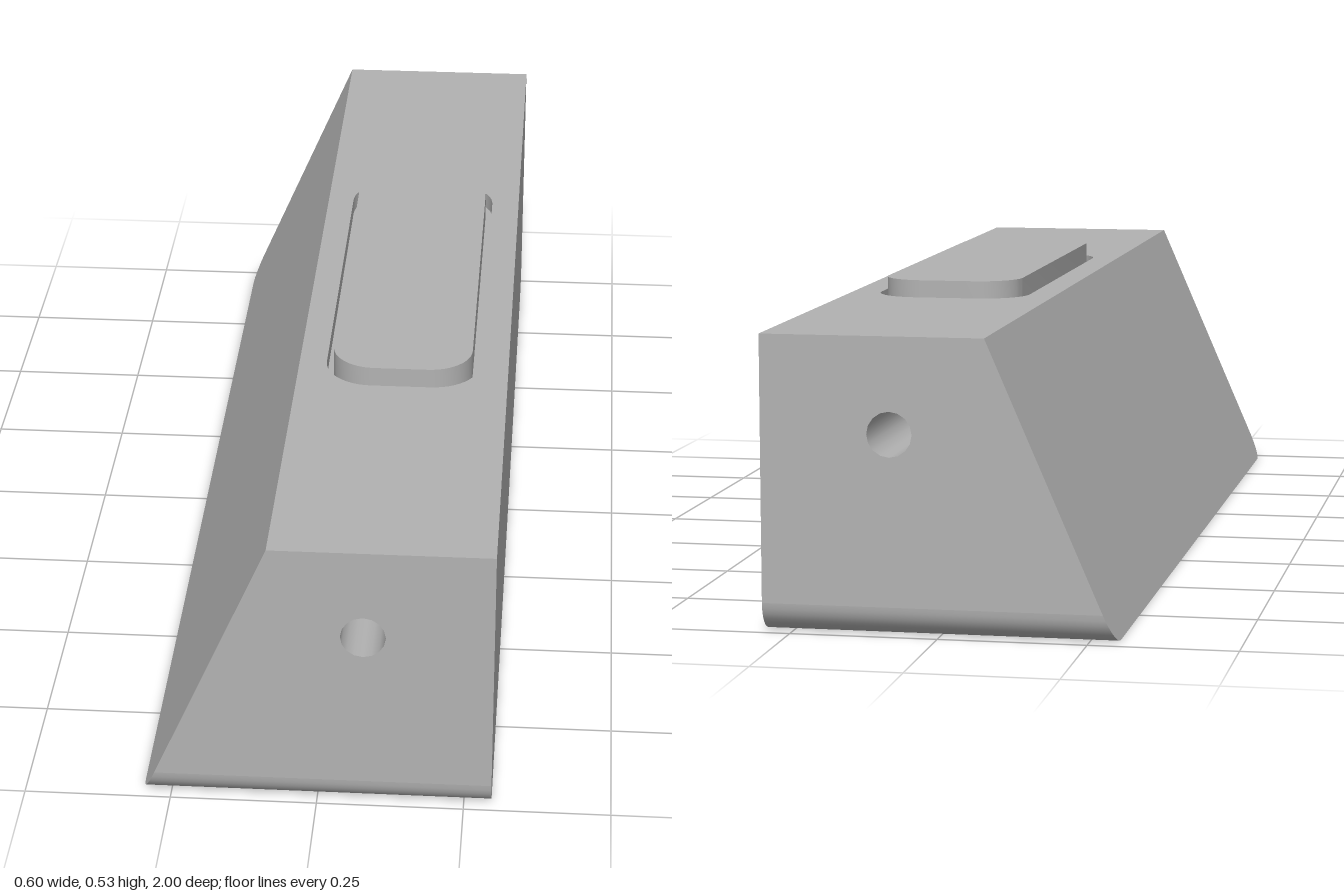
import * as THREE from 'three';
import { toCreasedNormals } from 'three/addons/utils/BufferGeometryUtils.js';

const RIGHT = 0.297, TOP = 0.5, ROUND = 0.05;
const HOLE = { x: 0.079, y: 0.338, r: 0.038 };
const PAD = { x: 0.107, recess: 0.47, top: 0.53 };
// x of the sloping side at height y
const slopeX = (y) => -0.298 + (y / TOP) * 0.218;

// Faceless helper: geometry from points and triangle indices
function fromPoints(points, index) {
  const g = new THREE.BufferGeometry().setFromPoints(points);
  g.setIndex(index);
  return toCreasedNormals(g, 0.6);
}

// Strip of quads between two matching rows of points
function ribbon(a, b) {
  const n = a.length, index = [];
  for (let i = 0; i < n - 1; i++) index.push(i, i + 1, n + i + 1, i, n + i + 1, n + i);
  return fromPoints([...a, ...b], index);
}

// Flat convex polygon
function fan(points) {
  const index = [];
  for (let i = 1; i < points.length - 1; i++) index.push(0, i, i + 1);
  return fromPoints(points, index);
}

// Closed rounded rectangle around the pad centre
function roundedRect(halfW, halfL, r) {
  const s = new THREE.Shape();
  s.absarc(PAD.x + halfW - r, halfL - r, r, 0, Math.PI / 2);
  s.absarc(PAD.x - halfW + r, halfL - r, r, Math.PI / 2, Math.PI);
  s.absarc(PAD.x - halfW + r, -halfL + r, r, Math.PI, Math.PI * 1.5);
  s.absarc(PAD.x + halfW - r, -halfL + r, r, Math.PI * 1.5, Math.PI * 2);
  s.closePath();
  return s;
}

export function createModel() {
  const grey = new THREE.MeshStandardMaterial({ color: 0xb2b2b2 });
  grey.name = 'grey';
  const model = new THREE.Group();
  model.name = 'block';
  const body = new THREE.Group();
  body.name = 'body';
  model.add(body);
  const add = (name, geometry, parent = body) => {
    const mesh = new THREE.Mesh(geometry, grey);
    mesh.name = name;
    parent.add(mesh);
  };

  // Side profile with rounded lower corners, from front end to back end
  const profile = [];
  for (const end of [1, -1]) {
    for (let i = 0; i <= 8; i++) {
      const t = (end > 0 ? i : 8 - i) / 8 * Math.PI / 2;
      profile.push([end * (1 - ROUND + ROUND * Math.cos(t)), ROUND * (1 - Math.sin(t))]);
    }
  }
  const slopeSide = ([z, y]) => new THREE.Vector3(slopeX(y), y, z);
  const uprightSide = ([z, y]) => new THREE.Vector3(RIGHT, y, z);
  add('underside', ribbon(profile.map(slopeSide), profile.map(uprightSide)));
  const outline = [...profile, [-1, TOP], [1, TOP]];
  add('uprightSide', fan(outline.map(uprightSide)));
  add('slopingSide', fan(outline.map(slopeSide).reverse()));

  // End faces with the through hole
  for (const s of [1, -1]) {
    const face = new THREE.Shape([
      [slopeX(ROUND), ROUND], [RIGHT, ROUND], [RIGHT, TOP], [slopeX(TOP), TOP],
    ].map(([x, y]) => new THREE.Vector2(s * x, y)));
    const hole = new THREE.Path();
    hole.absarc(s * HOLE.x, HOLE.y, HOLE.r, 0, Math.PI * 2);
    face.holes.push(hole);
    const g = new THREE.ShapeGeometry(face, 8).translate(0, 0, 1);
    if (s < 0) g.rotateY(Math.PI);
    add(s > 0 ? 'frontFace' : 'backFace', g);
  }
  const ring = (z) => Array.from({ length: 17 }, (_, i) => {
    const t = i / 16 * Math.PI * 2;
    return new THREE.Vector3(HOLE.x + HOLE.r * Math.cos(t), HOLE.y + HOLE.r * Math.sin(t), z);
  });
  add('throughHole', ribbon(ring(1), ring(-1)));

  // Top face with a shallow recess
  const slot = roundedRect(0.138, 0.427, 0.085);
  const top = new THREE.Shape([
    [slopeX(TOP), -1], [RIGHT, -1], [RIGHT, 1], [slopeX(TOP), 1],
  ].map(([x, y]) => new THREE.Vector2(x, y)));
  top.holes.push(slot);
  add('topFace', new THREE.ShapeGeometry(top, 6).rotateX(-Math.PI / 2).translate(0, TOP, 0));
  const rim = slot.getPoints(6);
  const rimAt = (y) => rim.map((p) => new THREE.Vector3(p.x, y, -p.y));
  add('recessWall', ribbon(rimAt(TOP), rimAt(PAD.recess)));
  add('recessFloor', new THREE.ShapeGeometry(slot, 6).rotateX(-Math.PI / 2).translate(0, PAD.recess, 0));

  // Raised pad standing in the recess
  const pad = new THREE.ExtrudeGeometry(roundedRect(0.125, 0.417, 0.077), {
    depth: PAD.top - PAD.recess, bevelEnabled: false, curveSegments: 6,
  }).rotateX(-Math.PI / 2).translate(0, PAD.recess, 0);
  add('raisedPad', toCreasedNormals(pad, 0.6), model);

  return model;
}
